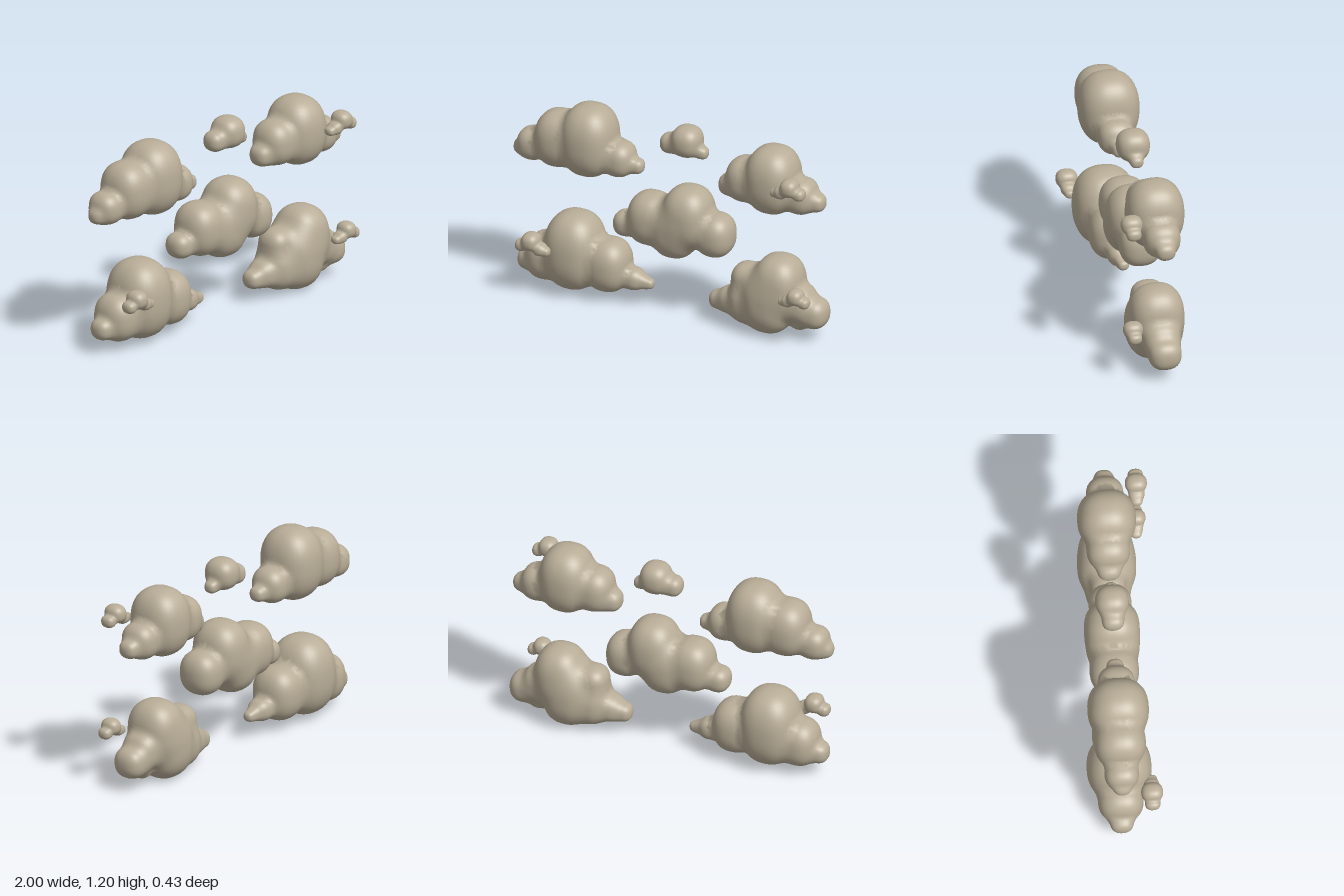
import * as THREE from 'three';

const CENTRE_Z = -0.022; // depth of the large clouds
const WISP_Z = 0.158;    // depth of the small wisps in front
const SQUARENESS = 2.4;  // 2 is a plain ellipsoid, higher is fuller

// A puff from its x, y and half width: wide puffs grow taller, all are a little deep
function makePuff([x, y, r], z, extraDepth) {
  const tall = 1 + Math.max(0, r - 0.08) * 4;
  return {
    centre: new THREE.Vector3(x, y, z),
    radii: new THREE.Vector3(r, r * tall, r * 1.08 + extraDepth),
  };
}

function fullness(v) {
  const sum = Math.abs(v.x) ** SQUARENESS + Math.abs(v.y) ** SQUARENESS + Math.abs(v.z) ** SQUARENESS;
  return sum ** (1 / SQUARENESS);
}

// Approximate signed distance to one puff
const scaled = new THREE.Vector3();
function puffDistance(p, { centre, radii }) {
  scaled.copy(p).sub(centre).divide(radii);
  const a = fullness(scaled);
  const b = scaled.divide(radii).length();
  return a * (a - 1) / Math.max(b, 1e-6);
}

// Softly blended distance to a whole cloud
function cloudDistance(p, puffs, blend) {
  let d = Infinity;
  for (const puff of puffs) {
    const e = puffDistance(p, puff);
    const h = Math.max(blend - Math.abs(d - e), 0) / blend;
    d = Math.min(d, e) - h * h * blend * 0.25;
  }
  return d;
}

// A sphere whose vertices are moved onto the blended cloud surface
function puffGeometry(puff, puffs, blend) {
  const geometry = new THREE.SphereGeometry(1, 40, 28);
  const { position, normal } = geometry.attributes;
  const dir = new THREE.Vector3(), p = new THREE.Vector3();
  const q = new THREE.Vector3(), n = new THREE.Vector3();
  for (let i = 0; i < position.count; i++) {
    dir.fromBufferAttribute(position, i).multiply(puff.radii);
    let inside = 0.6, outside = 1.4;
    for (let k = 0; k < 16; k++) {
      const middle = (inside + outside) / 2;
      p.copy(puff.centre).addScaledVector(dir, middle);
      if (cloudDistance(p, puffs, blend) < 0) inside = middle;
      else outside = middle;
    }
    position.setXYZ(i, p.x, p.y, p.z);
    // Normal from the slope of the distance, so neighbouring puffs shade as one
    for (const axis of ['x', 'y', 'z']) {
      q.copy(p)[axis] += 0.002;
      n[axis] = cloudDistance(q, puffs, blend);
      q[axis] -= 0.004;
      n[axis] -= cloudDistance(q, puffs, blend);
    }
    n.normalize();
    normal.setXYZ(i, n.x, n.y, n.z);
  }
  return geometry;
}

function makeCloud(name, material, puffs, blend) {
  const group = new THREE.Group();
  group.name = name;
  for (const puff of puffs) {
    const mesh = new THREE.Mesh(puffGeometry(puff, puffs, blend), material);
    mesh.name = 'puff';
    group.add(mesh);
  }
  return group;
}

export function createModel() {
  const model = new THREE.Group();
  model.name = 'clouds';
  const material = new THREE.MeshStandardMaterial({ color: 0xb8ad97 });
  material.name = 'warm stone';

  const addCloud = (name, ...spots) => {
    const puffs = spots.map((spot) => makePuff(spot, CENTRE_Z, 0));
    model.add(makeCloud(name, material, puffs, 0.033));
  };

  // Wisps share one shape: a round head, a long arm with a tip, and a short arm
  const addWisp = (name, x, y, side, size) => {
    const puffs = [[0, 0, 0.054], [-0.055, -0.038, 0.038], [-0.095, -0.047, 0.026], [0.06, -0.032, 0.036]]
      .map(([dx, dy, r]) => makePuff([x + side * size * dx, y + size * dy, size * r], WISP_Z, 0.005));
    model.add(makeCloud(name, material, puffs, 0.016));
  };

  // Large clouds, each listed from -x to +x
  addCloud('upperRightCloud', [-0.957, 0.848, 0.043], [-0.88, 0.883, 0.092],
    [-0.715, 0.95, 0.138], [-0.52, 0.978, 0.164], [-0.335, 0.895, 0.099], [-0.222, 0.868, 0.045]);
  addCloud('upperMiddleCloud', [-0.005, 1.06, 0.06], [0.1, 1.092, 0.09], [0.197, 1.035, 0.036]);
  addCloud('upperLeftCloud', [0.375, 0.875, 0.065], [0.48, 0.93, 0.117],
    [0.65, 0.963, 0.157], [0.825, 0.893, 0.1], [0.926, 0.868, 0.054]);
  addCloud('middleCloud', [-0.285, 0.495, 0.076], [-0.13, 0.56, 0.132],
    [0.03, 0.53, 0.143], [0.11, 0.618, 0.148], [0.28, 0.535, 0.115]);
  addCloud('lowerRightCloud', [-0.909, 0.143, 0.063], [-0.79, 0.19, 0.122],
    [-0.615, 0.262, 0.173], [-0.4, 0.21, 0.133], [-0.245, 0.15, 0.066],
    [-0.19, 0.142, 0.036], [-0.142, 0.135, 0.03]);
  addCloud('lowerLeftCloud', [0.303, 0.13, 0.055], [0.39, 0.145, 0.082], [0.49, 0.295, 0.095],
    [0.5, 0.165, 0.12], [0.63, 0.203, 0.157], [0.69, 0.298, 0.148],
    [0.81, 0.21, 0.105], [0.82, 0.1, 0.055], [0.908, 0.165, 0.089]);

  addWisp('upperWisp', 0.84, 1.018, 1, 1);
  addWisp('lowerRightWisp', -0.81, 0.345, -1, 1);
  addWisp('lowerLeftWisp', 0.878, 0.332, 1, 0.9);

  return model;
}
